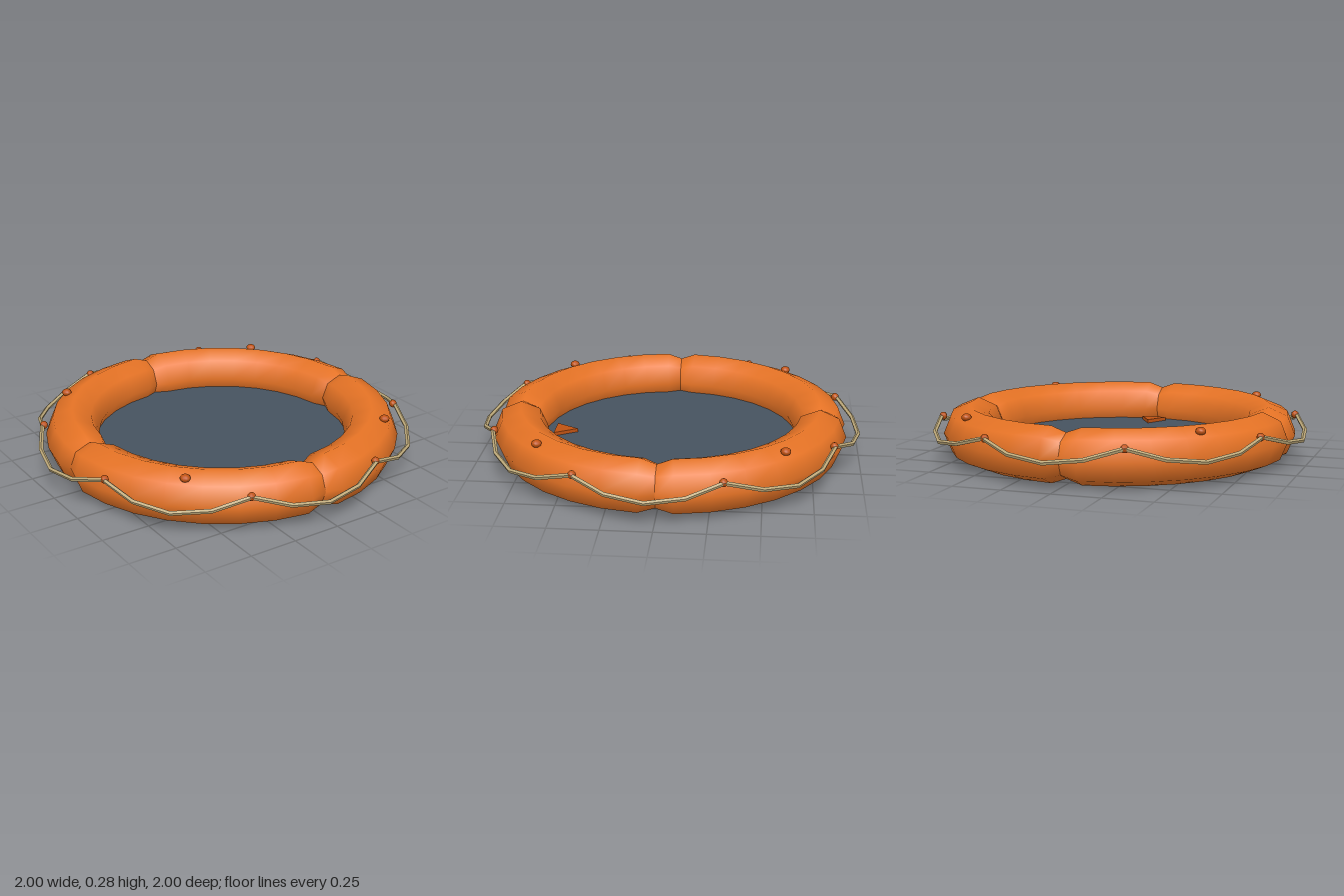
import * as THREE from 'three';

const RING = 0.79, TUBE = 0.14, MID = 0.142;
const rad = THREE.MathUtils.degToRad;

// One quarter of the inflated ring: eight-sided sections, pinched at both ends
function quarterTube() {
  const stations = [0];
  for (let i = 0; i <= 7; i++) stations.push(5.6 + i * 78.8 / 7);
  stations.push(90);
  const sides = 8, pos = [], index = [];
  stations.forEach((deg, i) => {
    const end = i === 0 || i === stations.length - 1;
    const r = end ? 0.112 : TUBE, a = rad(deg);
    for (let j = 0; j < sides; j++) {
      const b = j / sides * Math.PI * 2;
      const d = RING + r * Math.cos(b);
      pos.push(d * Math.cos(a), MID + r * Math.sin(b), d * Math.sin(a));
      if (i > 0) {
        const k = (j + 1) % sides;
        const p = (i - 1) * sides + j, q = (i - 1) * sides + k;
        const s = i * sides + j, t = i * sides + k;
        index.push(p, q, s, q, t, s);
      }
    }
  });
  const g = new THREE.BufferGeometry();
  g.setAttribute('position', new THREE.Float32BufferAttribute(pos, 3));
  g.setIndex(index);
  g.computeVertexNormals();
  return g;
}

// Closed grab line that sags outward and down between eight clips
const CLIPS = 8, CLIP_START = rad(25);
class SaggingLine extends THREE.Curve {
  getPoint(t, target = new THREE.Vector3()) {
    const sag = Math.abs(Math.sin(t * CLIPS * Math.PI));
    const a = CLIP_START + t * Math.PI * 2;
    const r = 0.945 + 0.045 * sag;
    return target.set(r * Math.cos(a), 0.212 - 0.07 * sag, r * Math.sin(a));
  }
  getPointAt(u, target) { return this.getPoint(u, target); }
  getTangent(t, target = new THREE.Vector3()) {
    const a = this.getPoint((t - 0.01 + 1) % 1), b = this.getPoint((t + 0.01) % 1);
    return target.copy(b).sub(a).normalize();
  }
  getTangentAt(u, target) { return this.getTangent(u, target); }
}

export function createModel() {
  const model = new THREE.Group();
  model.name = 'lifeRaft';

  const material = (name, color, extra = {}) => {
    const m = new THREE.MeshStandardMaterial({ color, ...extra });
    m.name = name;
    return m;
  };
  const orange = material('orange rubber', 0xe67325);
  const darkOrange = material('dark orange', 0xbf5212);
  const slate = material('slate floor', 0x46525f);
  const tan = material('tan rope', 0xbda878, { flatShading: true });

  const add = (name, geometry, mat, x = 0, y = 0, z = 0) => {
    const mesh = new THREE.Mesh(geometry, mat);
    mesh.name = name;
    mesh.position.set(x, y, z);
    model.add(mesh);
    return mesh;
  };

  // Four tube sections with a valve on each
  const section = quarterTube();
  const valve = new THREE.SphereGeometry(0.026, 10, 8).scale(1, 0.75, 1);
  for (let i = 0; i < 4; i++) {
    add('tubeSection', section, orange).rotation.y = i * Math.PI / 2;
    const a = rad(45 + 90 * i);
    add('valve', valve, darkOrange, 0.858 * Math.cos(a), 0.264, 0.858 * Math.sin(a));
  }

  // Floor disc
  add('floor', new THREE.CylinderGeometry(0.75, 0.75, 0.06, 48), slate, 0, 0.057, 0);

  // Triangular marker on the floor, pointing inward
  const triangle = new THREE.Shape([
    new THREE.Vector2(-0.07, -0.62),
    new THREE.Vector2(0.07, -0.62),
    new THREE.Vector2(0, -0.5),
  ]);
  const marker = new THREE.ExtrudeGeometry(triangle, { depth: 0.02, bevelEnabled: false });
  marker.rotateX(-Math.PI / 2);
  add('floorMarker', marker, darkOrange, 0, 0.086, 0);

  // Grab line and its clips
  add('grabLine', new THREE.TubeGeometry(new SaggingLine(), 32, 0.012, 5, true), tan);
  const clip = new THREE.SphereGeometry(0.021, 8, 6);
  for (let i = 0; i < CLIPS; i++) {
    const a = CLIP_START + i / CLIPS * Math.PI * 2;
    add('ropeClip', clip, darkOrange, 0.937 * Math.cos(a), 0.212, 0.937 * Math.sin(a));
  }

  return model;
}
